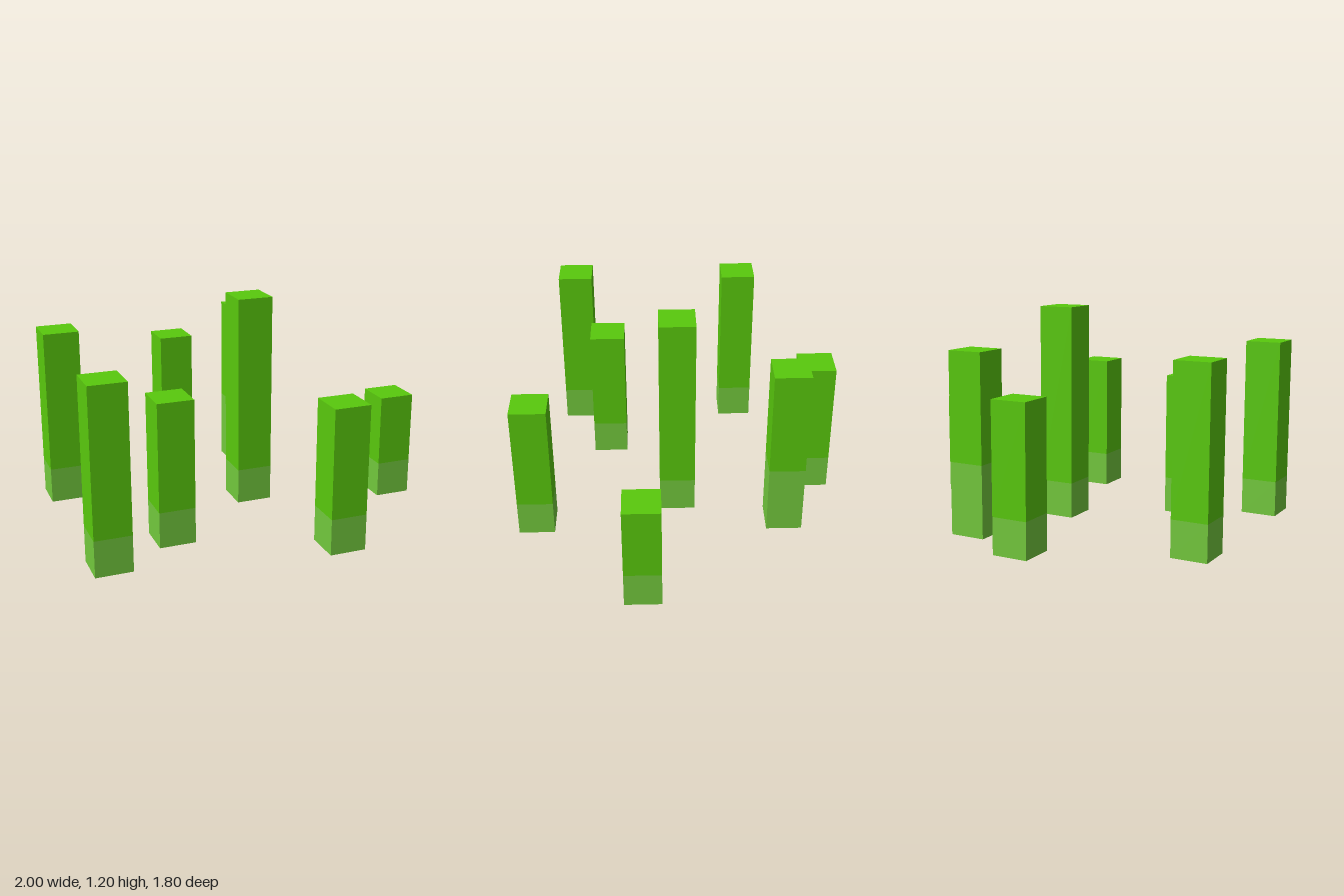
import * as THREE from 'three';

export function createModel() {
  const model = new THREE.Group();
  model.name = 'grassTuft';

  const leafGreen = new THREE.MeshStandardMaterial({ name: 'leafGreen', color: 0x59c90d });
  const paleGreen = new THREE.MeshStandardMaterial({ name: 'paleGreen', color: 0x73c93d });

  const width = 0.2;

  // One square section of a blade between two heights
  function section(name, material, bottom, top) {
    const mesh = new THREE.Mesh(new THREE.BoxGeometry(width, top - bottom, width), material);
    mesh.name = name;
    mesh.position.y = (bottom + top) / 2;
    return mesh;
  }

  // Each blade: x, z, full height, height of the pale base
  const blades = [
    [-0.1, -0.8, 0.8, 0.2],
    [0.3, -0.6, 1.0, 0.4],
    [-0.9, -0.4, 1.0, 0.2],
    [0.1, 0.0, 1.2, 0.2],
    [0.9, 0.2, 0.6, 0.2],
    [-0.5, 0.4, 0.8, 0.2],
    [-0.9, 0.6, 1.0, 0.2],
    [0.3, 0.8, 0.8, 0.2],
  ];

  blades.forEach(([x, z, height, baseHeight], i) => {
    const blade = new THREE.Group();
    blade.name = `blade${i + 1}`;
    blade.position.set(x, 0, z);
    blade.add(
      section('bladeBase', paleGreen, 0, baseHeight),
      section('bladeTip', leafGreen, baseHeight, height),
    );
    model.add(blade);
  });

  return model;
}
